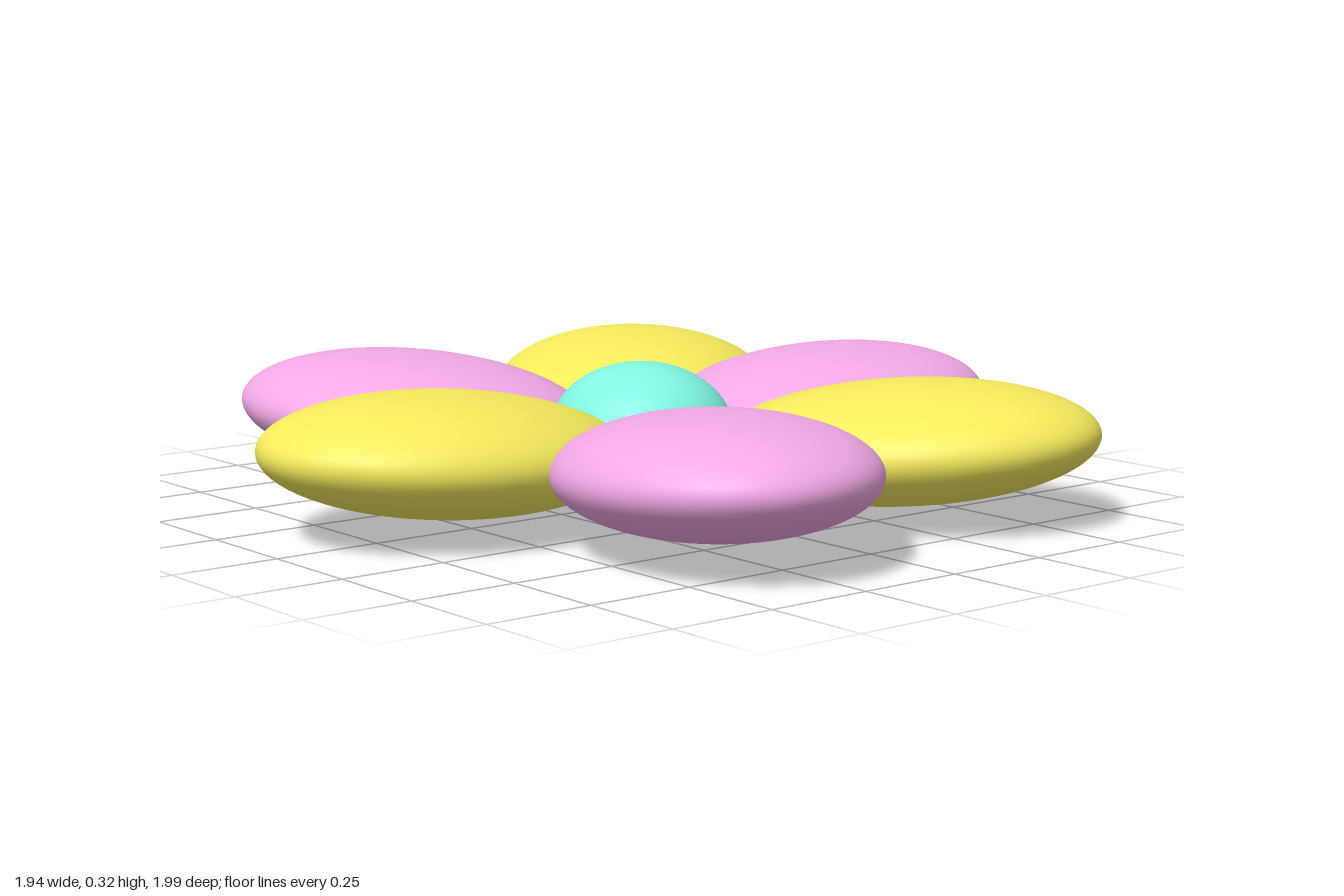
import * as THREE from 'three';

const YELLOW = 0xf5ec5c, PINK = 0xf3a9e6, TEAL = 0x80f5e0;
const HUB_X = -0.02;

export function createModel() {
  const flower = new THREE.Group();
  flower.name = 'flower';
  const sphere = new THREE.SphereGeometry(1, 64, 40);

  const addEllipsoid = (name, color, position, radii) => {
    const mesh = new THREE.Mesh(sphere, new THREE.MeshStandardMaterial({ color }));
    mesh.name = name;
    mesh.position.set(...position);
    mesh.scale.set(...radii);
    flower.add(mesh);
    return mesh;
  };

  // Flattened round centre
  addEllipsoid('flowerCentre', TEAL, [HUB_X, 0.162, 0], [0.22, 0.162, 0.21]);

  // Petals point away from the centre, tips slightly raised
  const petals = [
    ['frontPetal', YELLOW, HUB_X, 0.55],
    ['frontLeftPetal', PINK, 0.54, 0.253],
    ['backLeftPetal', YELLOW, 0.498, -0.344],
    ['backPetal', PINK, HUB_X, -0.56],
    ['backRightPetal', YELLOW, -0.51, -0.37],
    ['frontRightPetal', PINK, -0.55, 0.268],
  ];
  for (const [name, color, x, z] of petals) {
    const petal = addEllipsoid(name, color, [x, 0.172, z], [0.44, 0.137, 0.347]);
    petal.rotation.set(0, Math.atan2(-z, x - HUB_X), 0.07);
  }
  return flower;
}
